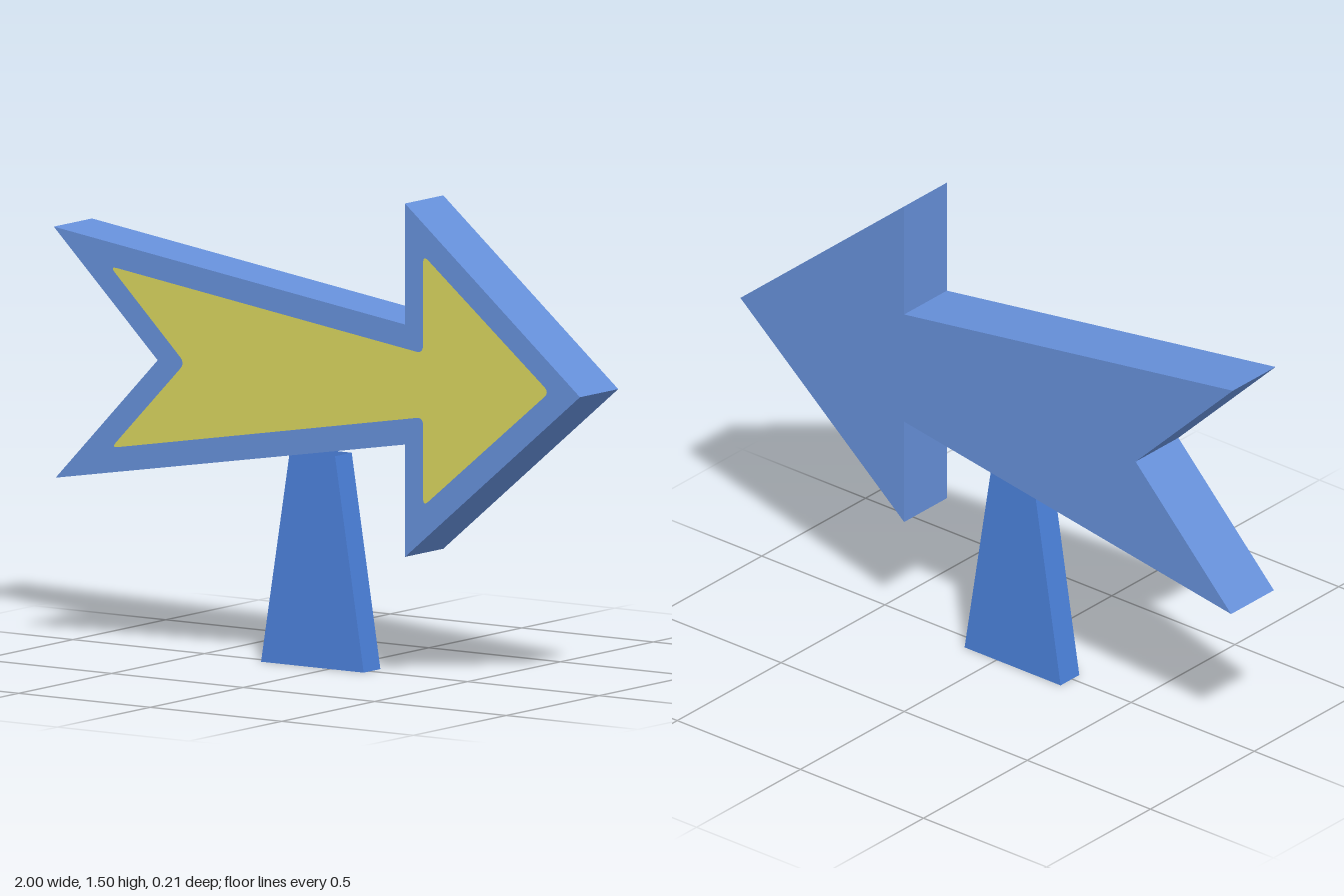
import * as THREE from 'three';

const blue = new THREE.MeshStandardMaterial({ name: 'arrow blue', color: 0x6690da });
const postBlue = new THREE.MeshStandardMaterial({ name: 'post blue', color: 0x4c82dc, side: THREE.DoubleSide });
const yellow = new THREE.MeshStandardMaterial({ name: 'panel yellow', color: 0xd8d55e });

// Closed outline whose corners are softened by radius r (0 keeps them sharp)
function outline(points, r = 0) {
  const p = points.map(([x, y]) => new THREE.Vector2(x, y));
  const shape = new THREE.Shape();
  p.forEach((c, i) => {
    const toward = (q) => q.clone().sub(c).setLength(r).add(c);
    const a = toward(p.at(i - 1));
    const b = toward(p[(i + 1) % p.length]);
    if (i === 0) shape.moveTo(a.x, a.y);
    else shape.lineTo(a.x, a.y);
    if (r > 0) shape.quadraticCurveTo(c.x, c.y, b.x, b.y);
  });
  shape.closePath();
  return shape;
}

function add(group, name, geometry, material) {
  const mesh = new THREE.Mesh(geometry, material);
  mesh.name = name;
  group.add(mesh);
  return mesh;
}

export function createModel() {
  const model = new THREE.Group();
  model.name = 'arrowSign';

  // Thick arrow board with a notched tail
  const board = new THREE.ExtrudeGeometry(outline([
    [-1, 1.31], [-0.605, 0.925], [-0.993, 0.522], [0.335, 0.743],
    [0.335, 0.39], [1, 0.95], [0.335, 1.5], [0.335, 1.12],
  ]), { depth: 0.206, bevelEnabled: false });
  board.translate(0, 0, -0.103);
  add(model, 'arrowBoard', board, blue);

  // Yellow inset painted on the front
  const panel = new THREE.ShapeGeometry(outline([
    [-0.785, 1.205], [-0.5, 0.925], [-0.78, 0.635], [0.405, 0.835],
    [0.405, 0.555], [0.885, 0.955], [0.405, 1.345], [0.405, 1.035],
  ], 0.025), 4);
  add(model, 'arrowPanel', panel, yellow).position.z = 0.105;

  // Tapered hollow post: a box narrowed upward, without its end caps
  const post = new THREE.BoxGeometry(0.39, 0.67, 0.09);
  const pos = post.attributes.position;
  for (let i = 0; i < pos.count; i++) {
    if (pos.getY(i) > 0) pos.setX(i, Math.sign(pos.getX(i)) * 0.086);
  }
  const faces = Array.from(post.index.array);
  faces.splice(12, 12);
  post.setIndex(faces);
  post.clearGroups();
  post.computeVertexNormals();
  add(model, 'post', post, postBlue).position.set(-0.065, 0.335, -0.01);

  return model;
}
